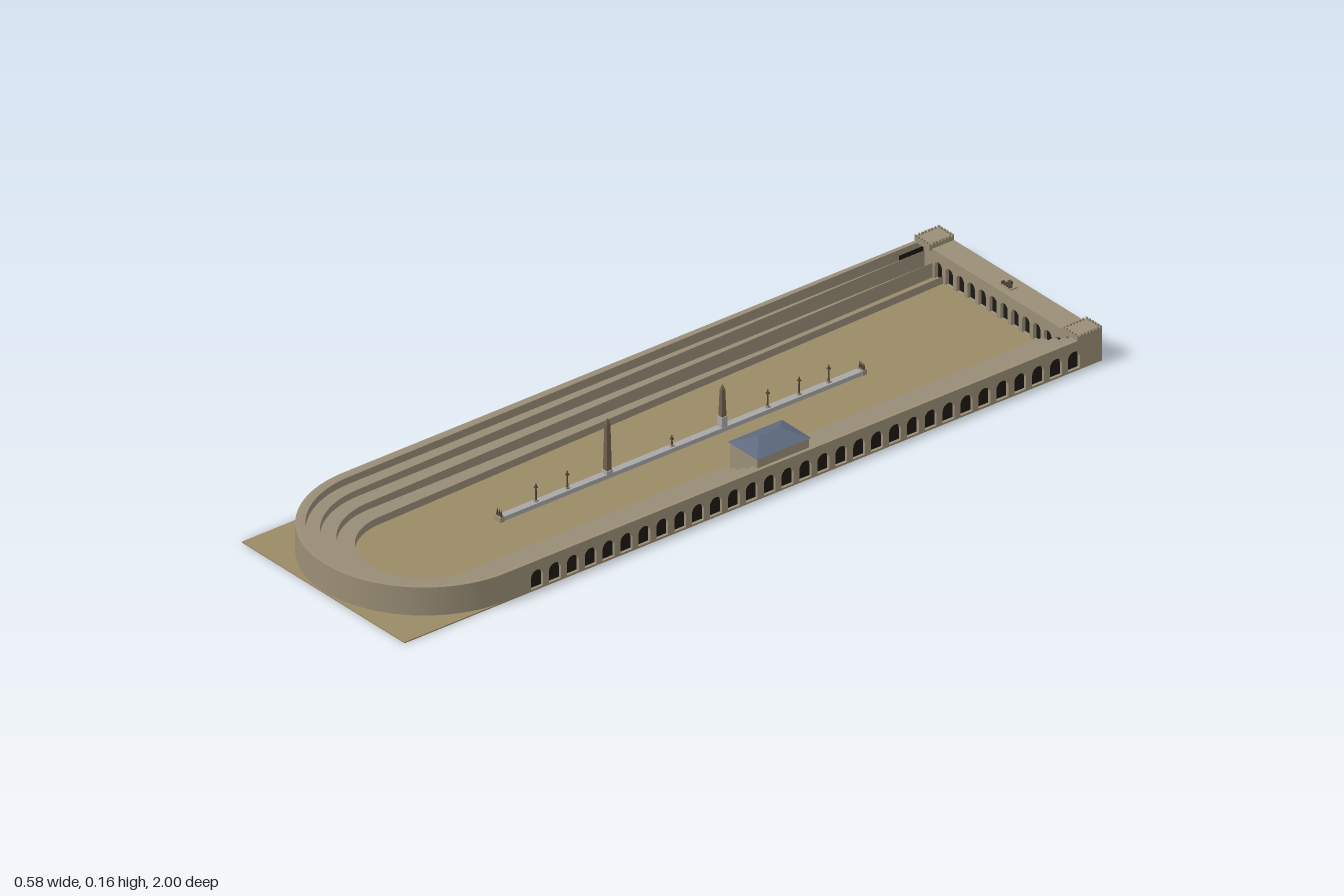
import * as THREE from 'three';
import { toCreasedNormals } from 'three/addons/utils/BufferGeometryUtils.js';

const mat = (color, extra = {}) => new THREE.MeshStandardMaterial({ color, ...extra });
const STONE = mat(0x9a8e76), TREAD = mat(0x988c76), SAND = mat(0x9a8a66), DARK = mat(0x1c1814);
const MARBLE = mat(0xa8a8a8), BRONZE = mat(0x54483b), SLATE = mat(0x5f6a7e, { flatShading: true });
const OBELISK = mat(0x6f604e, { flatShading: true });

const HALF = 0.288, CURVE_Z = 0.71, GROUND = 0.003, TOP = 0.075;

function add(parent, name, geometry, material, x = 0, y = 0, z = 0) {
  const mesh = new THREE.Mesh(geometry, material);
  mesh.name = name;
  mesh.position.set(x, y, z);
  parent.add(mesh);
  return mesh;
}

// Box given by its lower and upper corners
function block(parent, name, material, x0, x1, y0, y1, z0, z1) {
  return add(parent, name, new THREE.BoxGeometry(x1 - x0, y1 - y0, z1 - z0), material,
    (x0 + x1) / 2, (y0 + y1) / 2, (z0 + z1) / 2);
}

// U-shaped ring: two straight arms from zStart joined by a half circle at the front
function uRing(outer, inner, top, zStart) {
  const s = new THREE.Shape();
  s.moveTo(-outer, zStart);
  s.lineTo(-outer, CURVE_Z);
  s.absarc(0, CURVE_Z, outer, Math.PI, 0, true);
  s.lineTo(outer, zStart);
  s.lineTo(inner, zStart);
  s.lineTo(inner, CURVE_Z);
  s.absarc(0, CURVE_Z, inner, 0, Math.PI, false);
  s.closePath();
  const g = new THREE.ExtrudeGeometry(s, { depth: top - GROUND, bevelEnabled: false, curveSegments: 24 });
  g.rotateX(Math.PI / 2);
  g.translate(0, top, 0);
  return toCreasedNormals(g, 0.5);
}

// Flat wall from u0 to u1 pierced by round-headed openings
function arcade(u0, u1, y0, y1, centres, width, sill, height, depth) {
  const s = new THREE.Shape();
  s.moveTo(u0, y0);
  s.lineTo(u1, y0);
  s.lineTo(u1, y1);
  s.lineTo(u0, y1);
  s.closePath();
  const r = width / 2;
  for (const c of centres) {
    const h = new THREE.Path();
    h.moveTo(c - r, sill);
    h.lineTo(c - r, sill + height - r);
    h.absarc(c, sill + height - r, r, Math.PI, 0, true);
    h.lineTo(c + r, sill);
    h.closePath();
    s.holes.push(h);
  }
  return new THREE.ExtrudeGeometry(s, { depth, bevelEnabled: false, curveSegments: 8 });
}

const spread = (n, a, b) => Array.from({ length: n }, (_, i) => a + (b - a) * i / (n - 1));

function createStands(root) {
  const stands = new THREE.Group();
  stands.name = 'stands';
  root.add(stands);
  // Stepped seating, from the arena outwards
  const radii = [0.155, 0.196, 0.233, 0.265, 0.278];
  const tops = [0.022, 0.04, 0.057, TOP];
  tops.forEach((top, i) => add(stands, 'seatingTier', uRing(radii[i + 1], radii[i], top, -0.94), TREAD));
  add(stands, 'curvedOuterWall', uRing(HALF, 0.278, TOP, CURVE_Z - 0.001), STONE);
  // Long arcaded side walls with dark recesses
  const wall = arcade(-1, CURVE_Z, 0, TOP, spread(31, 0.62, -0.92), 0.034, 0.005, 0.046, 0.01);
  wall.rotateY(-Math.PI / 2);
  for (const side of [1, -1]) {
    add(stands, 'arcadedSideWall', wall, STONE, side > 0 ? HALF : -0.278);
    const x = side * 0.279;
    block(stands, 'archRecess', DARK, x - 0.0015, x + 0.0015, 0.004, 0.06, -0.96, 0.66);
  }
}

function createGatehouse(root) {
  const gate = new THREE.Group();
  gate.name = 'startingGates';
  root.add(gate);
  block(gate, 'gateBody', STONE, -0.278, 0.278, 0, TOP, -1, -0.947);
  block(gate, 'gateRecess', DARK, -0.232, 0.232, 0.004, 0.06, -0.95, -0.946);
  add(gate, 'gateArcade', arcade(-0.24, 0.24, 0, TOP, spread(12, -0.213, 0.213), 0.026, 0.004, 0.045, 0.01),
    STONE, 0, 0, -0.947);
  // Corner towers with battlements
  for (const side of [1, -1]) {
    const tower = new THREE.Group();
    tower.name = 'cornerTower';
    tower.position.set(side * 0.262, 0, -0.965);
    gate.add(tower);
    block(tower, 'towerTop', STONE, -0.027, 0.027, 0.072, 0.085, -0.035, 0.035);
    for (const e of [1, -1]) {
      for (const u of spread(6, -0.0245, 0.0245))
        add(tower, 'merlon', new THREE.BoxGeometry(0.005, 0.005, 0.004), STONE, u, 0.0875, e * 0.033);
      for (const u of spread(6, -0.023, 0.023))
        add(tower, 'merlon', new THREE.BoxGeometry(0.004, 0.005, 0.005), STONE, e * 0.025, 0.0875, u);
    }
  }
  // Small chariot group above the centre gate
  block(gate, 'chariotPlinth', STONE, -0.02, 0.02, TOP, 0.078, -0.975, -0.955);
  for (const x of spread(4, -0.013, 0.013))
    block(gate, 'chariotHorse', BRONZE, x - 0.002, x + 0.002, 0.078, 0.084, -0.965, -0.956);
  block(gate, 'chariot', BRONZE, -0.005, 0.005, 0.078, 0.086, -0.974, -0.967);
}

function createPavilion(root) {
  const pav = new THREE.Group();
  pav.name = 'pavilion';
  pav.position.set(0.231, 0, -0.093);
  root.add(pav);
  block(pav, 'pavilionBody', STONE, -0.044, 0.048, 0.02, 0.1, -0.074, 0.074);
  block(pav, 'pavilionRecess', DARK, -0.045, -0.043, 0.058, 0.098, -0.068, 0.068);
  const face = arcade(-0.074, 0.074, 0.02, 0.1, spread(5, -0.054, 0.054), 0.019, 0.06, 0.034, 0.005);
  face.rotateY(-Math.PI / 2);
  add(pav, 'pavilionArcade', face, STONE, -0.044);
  // Hipped roof: a box whose upper corners are drawn in to a ridge
  const roof = new THREE.BoxGeometry(0.104, 0.021, 0.156);
  const p = roof.attributes.position;
  for (let i = 0; i < p.count; i++)
    if (p.getY(i) > 0) p.setXYZ(i, 0, p.getY(i), Math.sign(p.getZ(i)) * 0.03);
  roof.computeVertexNormals();
  add(pav, 'hippedRoof', roof, SLATE, 0, 0.1105, 0);
}

function createObelisk(parent, z, base, top, w) {
  const tip = 0.015, shaft = top - base - tip;
  const taper = (rt, rb, h) => new THREE.CylinderGeometry(rt * Math.SQRT1_2, rb * Math.SQRT1_2, h, 4).rotateY(Math.PI / 4);
  const o = new THREE.Group();
  o.name = 'obelisk';
  o.position.z = z;
  parent.add(o);
  block(o, 'obeliskPedestal', MARBLE, -w * 0.65, w * 0.65, 0.012, base, -w * 0.65, w * 0.65);
  add(o, 'obeliskShaft', taper(w * 0.7, w, shaft), OBELISK, 0, base + shaft / 2);
  add(o, 'obeliskTip', taper(0, w * 0.7, tip), OBELISK, 0, top - tip / 2);
}

function createSpine(root) {
  const spine = new THREE.Group();
  spine.name = 'centralBarrier';
  root.add(spine);
  block(spine, 'barrierWall', MARBLE, -0.009, 0.009, GROUND, 0.014, -0.54, 0.49);
  createObelisk(spine, 0.185, 0.022, 0.155, 0.014);
  createObelisk(spine, -0.145, 0.04, 0.122, 0.013);
  // Statue columns
  for (const [z, h] of [[0.39, 0.045], [0.3, 0.045], [0, 0.028], [-0.275, 0.045], [-0.365, 0.045], [-0.45, 0.045]]) {
    const column = new THREE.Group();
    column.name = 'statueColumn';
    column.position.set(0, 0.014, z);
    spine.add(column);
    block(column, 'columnBase', STONE, -0.004, 0.004, 0, 0.004, -0.004, 0.004);
    add(column, 'columnShaft', new THREE.CylinderGeometry(0.0018, 0.0024, h - 0.01, 8), BRONZE, 0, (h - 0.01) / 2);
    block(column, 'columnCapital', BRONZE, -0.0035, 0.0035, h - 0.01, h - 0.007, -0.0035, 0.0035);
    add(column, 'statue', new THREE.CylinderGeometry(0.001, 0.0026, 0.008, 8), BRONZE, 0, h - 0.003);
  }
  // Turning posts: three cones on a plinth at either end
  for (const z of [-0.545, 0.495]) {
    block(spine, 'turningPlinth', STONE, -0.011, 0.011, GROUND, 0.016, z - 0.006, z + 0.006);
    for (const x of [-0.007, 0, 0.007])
      add(spine, 'turningPost', new THREE.ConeGeometry(0.0035, 0.018, 8), BRONZE, x, 0.025, z);
  }
}

export function createModel() {
  const root = new THREE.Group();
  root.name = 'racingArena';
  block(root, 'ground', SAND, -HALF, HALF, 0, GROUND, -1, 1);
  createStands(root);
  createGatehouse(root);
  createPavilion(root);
  createSpine(root);
  return root;
}
